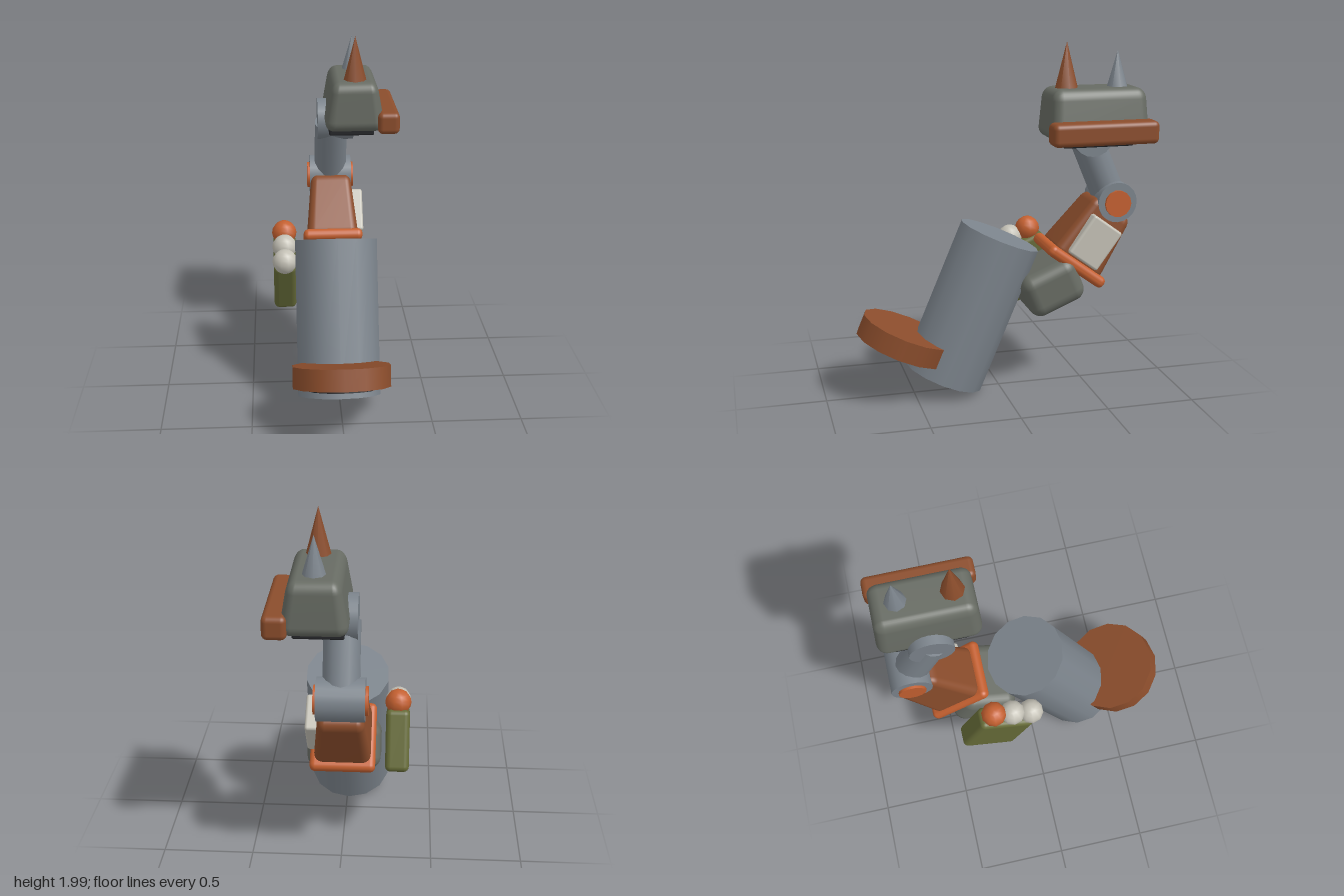
import * as THREE from 'three';
import { mergeVertices } from 'three/addons/utils/BufferGeometryUtils.js';
import { RoundedBoxGeometry } from 'three/addons/geometries/RoundedBoxGeometry.js';

const paint = {
  steel: 0x7c848c, rust: 0x8b4d2c, orange: 0xc46030, moss: 0x666b38,
  slate: 0x676b63, ivory: 0xc4c1b6, black: 0x26272a,
};
const materials = {};
for (const [key, color] of Object.entries(paint)) materials[key] = new THREE.MeshStandardMaterial({ color });

const MID = -0.01;            // centre line of the body
const TILT = 0.4;             // lean shared by most parts
const TORSO_TILT = -0.63;

export function createModel() {
  const model = new THREE.Group();
  model.name = 'robot';

  function add(name, geometry, color, position, tilt = 0) {
    const mesh = new THREE.Mesh(geometry, materials[color]);
    mesh.name = name;
    mesh.position.set(...position);
    mesh.rotation.x = tilt;
    model.add(mesh);
    return mesh;
  }

  // Rounded box
  const box = (w, h, d, r) => new RoundedBoxGeometry(w, h, d, 4, r);

  // Rounded box narrowing towards its top
  function taperedBox(w, h, d, r, topX, topZ) {
    let g = box(w, h, d, r);
    g.deleteAttribute('uv');
    g.deleteAttribute('normal');
    g = mergeVertices(g, 1e-4);
    const p = g.attributes.position;
    for (let i = 0; i < p.count; i++) {
      const t = p.getY(i) / h + 0.5;
      p.setX(i, p.getX(i) * (1 + (topX - 1) * t));
      p.setZ(i, p.getZ(i) * (1 + (topZ - 1) * t));
    }
    g.computeVertexNormals();
    return g;
  }

  // Cylinder lying across the body between two x values
  function axle(name, x0, x1, radius, color, y, z, sides) {
    const g = new THREE.CylinderGeometry(radius, radius, x1 - x0, sides).rotateZ(Math.PI / 2);
    return add(name, g, color, [(x0 + x1) / 2, y, z]);
  }

  // Leg and foot
  add('leg', new THREE.CylinderGeometry(0.236, 0.236, 0.875, 14), 'steel', [MID, 0.503, 0.159], -TILT);
  add('foot', new THREE.CylinderGeometry(0.27, 0.27, 0.117, 14), 'rust', [MID, 0.337, 0.547], -TILT);
  add('footPad', new THREE.CylinderGeometry(0.19, 0.19, 0.03, 14), 'black', [MID, 0.282, 0.57], -TILT);

  // Hips, waist plate and torso
  add('hips', box(0.4, 0.26, 0.34, 0.07), 'slate', [MID, 0.615, -0.285], TILT);
  add('waistPlate', box(0.35, 0.067, 0.4, 0.03), 'orange', [MID, 0.73, -0.425], TORSO_TILT);
  add('torso', taperedBox(0.31, 0.4, 0.34, 0.05, 0.76, 0.77), 'rust', [MID, 0.888, -0.54], TORSO_TILT);
  add('sidePanel', box(0.08, 0.26, 0.205, 0.015), 'ivory', [0.138, 0.87, -0.525], TORSO_TILT);

  // Pouch with a row of balls
  add('pouch', box(0.13, 0.34, 0.33, 0.03), 'moss', [-0.3, 0.63, -0.245], TILT);
  for (let i = 0; i < 3; i++) {
    const ball = new THREE.SphereGeometry(0.072, 10, 8);
    add('ball', ball, i === 0 ? 'orange' : 'ivory', [-0.3, 0.862 - 0.048 * i, -0.255 + 0.108 * i]);
  }

  // Shoulder joint, neck arm and head joint
  axle('shoulderJoint', -0.135, 0.115, 0.115, 'steel', 1.085, -0.67, 20);
  axle('shoulderCaps', -0.15, 0.13, 0.077, 'orange', 1.08, -0.67, 14);
  add('neck', new THREE.CylinderGeometry(0.097, 0.097, 0.42, 14), 'steel', [MID, 1.265, -0.59], TILT);
  axle('headJoint', -0.092, 0.118, 0.122, 'steel', 1.478, -0.518, 20);

  // Head with its underside pad, side bar and spikes
  add('head', taperedBox(0.355, 0.285, 0.565, 0.06, 0.72, 0.94), 'slate', [0.115, 1.608, -0.512]);
  add('headPad', box(0.26, 0.06, 0.4, 0.01), 'black', [0.1, 1.46, -0.51]);
  add('sideBar', box(0.125, 0.125, 0.6, 0.03), 'rust', [0.307, 1.522, -0.51]);
  add('frontSpike', new THREE.ConeGeometry(0.07, 0.27, 8), 'rust', [0.12, 1.865, -0.352]);
  add('backSpike', new THREE.ConeGeometry(0.065, 0.22, 8), 'steel', [0.12, 1.84, -0.645]);

  return model;
}
